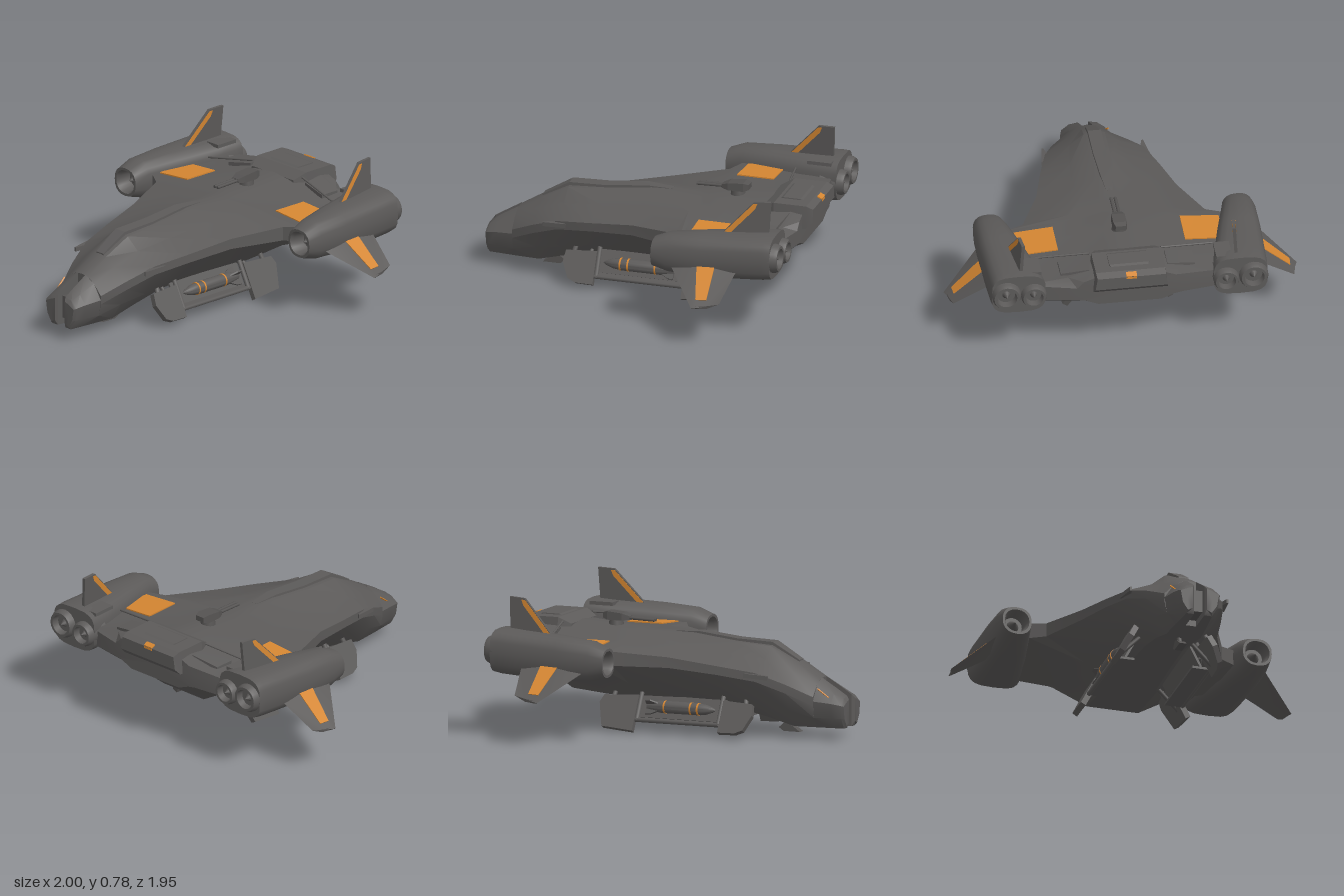
import * as THREE from 'three';
import { toCreasedNormals } from 'three/addons/utils/BufferGeometryUtils.js';

const mat = (name, color) => Object.assign(new THREE.MeshStandardMaterial({ color }), { name });
const V = (x, y, z) => new THREE.Vector3(x, y, z);

export function createModel() {
  const root = new THREE.Group();
  root.name = 'dropship';
  const grey = mat('hull grey', 0x5c5a59);
  const dark = mat('dark metal', 0x555352);
  const orange = mat('orange marking', 0xd48632);

  const add = (name, geo, m = grey) => {
    const mesh = new THREE.Mesh(geo, m);
    mesh.name = name;
    root.add(mesh);
    return mesh;
  };

  // closed solid through rings of points, turned outward by its signed volume
  const loft = (rings, crease = 0.5) => {
    const n = rings[0].length, tris = [];
    const cap = (r, flip) => {
      const c = r.reduce((s, p) => s.add(p), V(0, 0, 0)).divideScalar(n);
      for (let j = 0; j < n; j++) {
        const a = r[j], b = r[(j + 1) % n];
        tris.push(flip ? [c, b, a] : [c, a, b]);
      }
    };
    cap(rings[0], false);
    for (let i = 0; i + 1 < rings.length; i++) {
      for (let j = 0; j < n; j++) {
        const k = (j + 1) % n, a = rings[i][j], b = rings[i][k], c = rings[i + 1][k], d = rings[i + 1][j];
        tris.push([a, d, b], [b, d, c]);
      }
    }
    cap(rings[rings.length - 1], true);
    let vol = 0;
    for (const [a, b, c] of tris) vol += a.dot(V(0, 0, 0).crossVectors(b, c));
    const pts = tris.flatMap(([a, b, c]) => (vol < 0 ? [a, c, b] : [a, b, c]));
    return toCreasedNormals(new THREE.BufferGeometry().setFromPoints(pts), crease);
  };
  // flat plate: polygon thickened both ways along d
  const slab = (pts, d) => loft([pts.map(p => p.clone().add(d)), pts.map(p => p.clone().sub(d))], 0.2);
  const box = (name, x, y, z, w, h, d, m) => {
    const mesh = add(name, new THREE.BoxGeometry(w, h, d), m);
    mesh.position.set(x, y, z);
  };
  // round bar between two points
  const rod = (name, a, b, r, m, sides = 10) => {
    const mesh = add(name, new THREE.CylinderGeometry(r, r, a.distanceTo(b), sides), m);
    mesh.position.copy(a).lerp(b, 0.5);
    mesh.quaternion.setFromUnitVectors(V(0, 1, 0), b.clone().sub(a).normalize());
  };

  // hull sections: z, top, ridge x, shoulder x y, edge x y thickness, flank x y, belly x y
  const hull = [
    [0.80, .345, .05, .10, .31, .155, .25, .05, .14, .13, .09, .07],
    [0.66, .43, .05, .12, .38, .22, .32, .05, .17, .17, .10, .07],
    [0.50, .515, .06, .14, .44, .28, .385, .05, .20, .20, .11, .115],
    [0.28, .527, .06, .17, .47, .338, .42, .05, .23, .25, .11, .16],
    [0.02, .555, .06, .20, .50, .397, .46, .06, .26, .27, .12, .17],
    [-.27, .55, .07, .26, .53, .515, .49, .08, .29, .28, .13, .17],
    [-.32, .56, .08, .30, .525, .60, .50, .09, .32, .30, .15, .18],
    [-.47, .565, .09, .34, .52, .62, .50, .10, .34, .30, .15, .19],
    [-.68, .58, .12, .34, .52, .62, .50, .10, .34, .32, .15, .21],
    [-.85, .58, .20, .34, .53, .60, .50, .10, .32, .39, .18, .35],
    [-.92, .57, .20, .26, .54, .30, .50, .08, .25, .41, .18, .38],
  ];
  add('hull', loft(hull.map(([z, t, x1, x2, y2, xe, ye, te, xf, yf, xb, yb]) => {
    const half = [[xb, yb], [xf, yf], [xe, ye - te], [xe, ye], [x2, y2], [x1, t - .008]];
    return [V(0, yb, z), ...half.map(p => V(p[0], p[1], z)), V(0, t, z),
      ...half.reverse().map(p => V(-p[0], p[1], z))];
  }), 0.45));

  // rectangular-section loft on the centre line: z, half width, bottom, top
  const block = (name, rows, m) => add(name, loft(rows.map(([z, w, b, t]) =>
    [V(-w, b, z), V(w, b, z), V(w * .94, t, z), V(-w * .94, t, z)]), 0.2), m);
  block('spineRidge', [[.66, .03, .40, .435], [.50, .04, .48, .528], [.28, .04, .5, .535], [.05, .035, .5, .56], [-.1, .02, .5, .552]]);
  block('rearBlock', [[-.68, .18, .48, .575], [-.75, .21, .48, .612], [-.94, .21, .48, .612], [-.98, .205, .52, .595]]);
  block('rearHatch', [[-.74, .11, .56, .60], [-.78, .12, .56, .618], [-.88, .12, .56, .618], [-.9, .11, .56, .61]]);
  // marking wrapped over the rear edge
  add('rearMarking', slab([V(-.03, .609, -.952), V(.03, .609, -.952), V(.03, .596, -.98), V(-.03, .596, -.98)], V(0, .004, -.002)), orange);
  box('rearMarkingLip', 0, .588, -.979, .06, .012, .005, orange);
  box('noseSensor', 0, .17, .85, .066, .13, .14, dark);
  // thin mark on one side of the nose
  add('noseMarking', slab([V(-.117, .243, .88), V(-.112, .247, .88), V(-.122, .297, .815), V(-.127, .292, .815)], V(-.0025, .0025, .001)), orange);

  // top turret
  const base = add('turretBase', new THREE.CylinderGeometry(.035, .045, .05, 12), dark);
  base.position.set(0, .58, -.48);
  block('turretBody', [[-.39, .025, .595, .615], [-.43, .04, .59, .63], [-.52, .04, .59, .638], [-.55, .03, .60, .63]], dark);
  for (const x of [-.012, .012]) rod('turretBarrel', V(x, .605, -.41), V(x, .6, -.24), .009, dark);

  // chin gun
  rod('chinStem', V(0, .13, .56), V(0, .06, .59), .014, dark);
  add('chinGun', slab([V(0, .025, .66), V(0, .06, .61), V(0, .08, .57), V(0, .045, .53), V(0, .025, .56)], V(.022, 0, 0)), dark);

  // rounded section for nacelles
  const oval = (s, [z, cx, w, cy, h, e]) => Array.from({ length: 20 }, (_, i) => {
    const a = i / 20 * Math.PI * 2, f = v => Math.sign(v) * Math.abs(v) ** (2 / e);
    return V(s * (cx + w * f(Math.cos(a))), cy + h * f(Math.sin(a)), z);
  });

  for (const s of [1, -1]) {
    const side = s > 0 ? 'left' : 'right';
    const P = (x, y, z) => V(s * x, y, z);

    // nose prong
    add(side + 'NoseProng', loft([
      [.80, .03, .07, .09, .07, .14, .13, .155, .225, .10, .31, .03, .345],
      [.90, .03, .07, .08, .07, .12, .13, .135, .215, .09, .265, .03, .285],
      [.955, .03, .07, .075, .07, .11, .13, .122, .205, .08, .24, .03, .25],
      [.97, .04, .10, .07, .085, .10, .13, .112, .20, .07, .22, .04, .23],
    ].map(([z, ...q]) => [0, 2, 4, 6, 8, 10].map(i => P(q[i], q[i + 1], z)))));
    // pointed strake tip at the front of the wing edge
    add(side + 'StrakeTip', slab([P(.25, .37, .46), P(.306, .37, .44), P(.288, .36, .58), P(.278, .36, .58)], V(0, .012, 0)));

    // engine nacelle with hollow intake
    add(side + 'Nacelle', loft([
      [-.30, .705, .055, .455, .055, 2], [-.23, .705, .062, .455, .062, 2], [-.21, .705, .072, .455, .068, 2.2],
      [-.21, .705, .085, .455, .082, 2.4], [-.30, .70, .10, .46, .112, 2.6], [-.50, .675, .125, .462, .125, 3],
      [-.75, .642, .148, .473, .125, 3.4], [-.86, .632, .154, .48, .126, 3.4], [-.905, .628, .154, .483, .122, 3.4],
    ].map(r => oval(s, r)), 0.6));
    const spinner = add(side + 'IntakeCone', new THREE.ConeGeometry(.035, .06, 12), dark);
    spinner.rotation.x = Math.PI / 2;
    spinner.position.set(s * .705, .455, -.27);

    // twin exhaust nozzles, hollow
    for (const [x, r, y] of [[.70, .082, .488], [.545, .072, .475]]) {
      const profile = [[0, .03], [.6, .03], [.7, .08], [.88, .08], [1, .06], [1.04, -.06]]
        .map(([k, h]) => new THREE.Vector2(k * r, h)).reverse();
      const nozzle = add(side + 'Nozzle', toCreasedNormals(new THREE.LatheGeometry(profile, 20), 0.6));
      nozzle.rotation.x = -Math.PI / 2;
      nozzle.position.set(s * x, y, -.865);
      const plug = add(side + 'NozzlePlug', new THREE.ConeGeometry(r * .4, .05, 12), dark);
      plug.rotation.x = -Math.PI / 2;
      plug.position.set(s * x, y, -.915);
    }
    box(side + 'NacelleTopPad', s * .54, .59, -.8, .09, .02, .14);

    // drooped winglet and its marking
    const rootRing = [P(.76, .42, -.31), P(.76, .452, -.475), P(.76, .452, -.587), P(.76, .425, -.715), P(.76, .38, -.6), P(.76, .375, -.49)];
    const tipRing = [P(1, .25, -.515), P(.985, .262, -.535), P(.98, .265, -.59), P(.965, .28, -.668), P(.975, .25, -.6), P(.985, .245, -.54)];
    add(side + 'Winglet', loft([rootRing, tipRing], 0.3));
    const on = (i, t) => rootRing[i].clone().lerp(tipRing[i], t).add(P(.001, .0015, 0));
    add(side + 'WingletMarking', slab([on(1, .08), on(1, .87), on(2, .87), on(2, .08)], P(.0015, .002, 0)), orange);

    // upright fin, its leading strip coloured on both faces
    const F = ([z, y]) => P(.635 + (z + .6) * .1 - (y - .58) * .06, y, z);
    add(side + 'Fin', slab([[-.575, .57], [-.765, .775], [-.86, .78], [-.85, .57]].map(F), V(.009, 0, 0)));
    add(side + 'FinMarking', slab([[-.592, .583], [-.762, .766], [-.785, .767], [-.772, .735], [-.635, .588]].map(F), V(.0105, 0, 0)), orange);

    // wing marking and wing-root panels
    add(side + 'WingMarking', slab([P(.36, .523, -.36), P(.58, .505, -.36), P(.58, .508, -.575), P(.36, .522, -.575)], V(0, .0035, 0)), orange);
    add(side + 'WingPanel', slab([P(.22, .555, -.72), P(.38, .525, -.7), P(.38, .525, -.82), P(.22, .56, -.85)], V(0, .012, 0)));
    rod(side + 'WingStrut', P(.2, .59, -.72), P(.5, .545, -.66), .006, grey);

    // slanted bay door: two end pods joined by a frame
    const D = ([z, y]) => P(.302 - (y - .02) * .52, y, z);
    const thick = P(.014, .008, 0);
    add(side + 'FrontPod', slab([[.47, .13], [.46, .19], [.28, .2], [.28, .03], [.385, .032], [.43, .05]].map(D), thick));
    add(side + 'RearPod', slab([[-.24, .01], [-.43, .025], [-.47, .15], [-.45, .19], [-.24, .2]].map(D), thick));
    const bars = [[[.3, .075], [-.26, .075]], [[.3, .275], [-.26, .275]], [[.27, .07], [.27, .29]], [[-.23, .07], [-.23, .29]], [[.42, .17], [.4, .26]], [[-.4, .17], [-.38, .29]]];
    for (const [a, b] of bars) rod(side + 'DoorFrame', D(a), D(b), .014, grey, 6);
    for (const z of [.33, -.3]) rod(side + 'DoorBrace', P(.14, .2, z), P(.27, .07, z), .012, dark);
    // bay panel behind the missile and shelf below it
    add(side + 'BayPanel', slab([[.28, .08], [.28, .28], [-.24, .28], [-.24, .08]].map(q => D(q).add(P(-.05, 0, 0))), P(.006, .003, 0)));
    box(side + 'BayShelf', s * .22, .073, .02, .10, .014, .52);

    // missile carried in the bay
    const body = [[0, .24], [.014, .22], [.028, .18], [.035, .13], [.035, -.1], [.022, -.18], [0, -.18]]
      .map(([r, z]) => new THREE.Vector2(r, z)).reverse();
    const missile = add(side + 'Missile', toCreasedNormals(new THREE.LatheGeometry(body, 14), 0.6));
    missile.rotation.x = Math.PI / 2;
    missile.position.set(s * .232, .15, 0);
    for (const z of [.135, .09, -.07]) {
      const band = add(side + 'MissileBand', new THREE.CylinderGeometry(.0365, .0365, .01, 14), orange);
      band.rotation.x = Math.PI / 2;
      band.position.set(s * .232, .15, z);
    }
    for (const a of [1, -1]) {
      add(side + 'MissileFins', slab([[1, -.18], [1, -.15], [.4, -.09], [-.4, -.09], [-1, -.15], [-1, -.18]]
        .map(([k, z]) => V(s * .232 + k * .04, .15 - a * k * .04, z)), V(.003, .003 * a, 0)), dark);
    }
  }
  return root;
}
